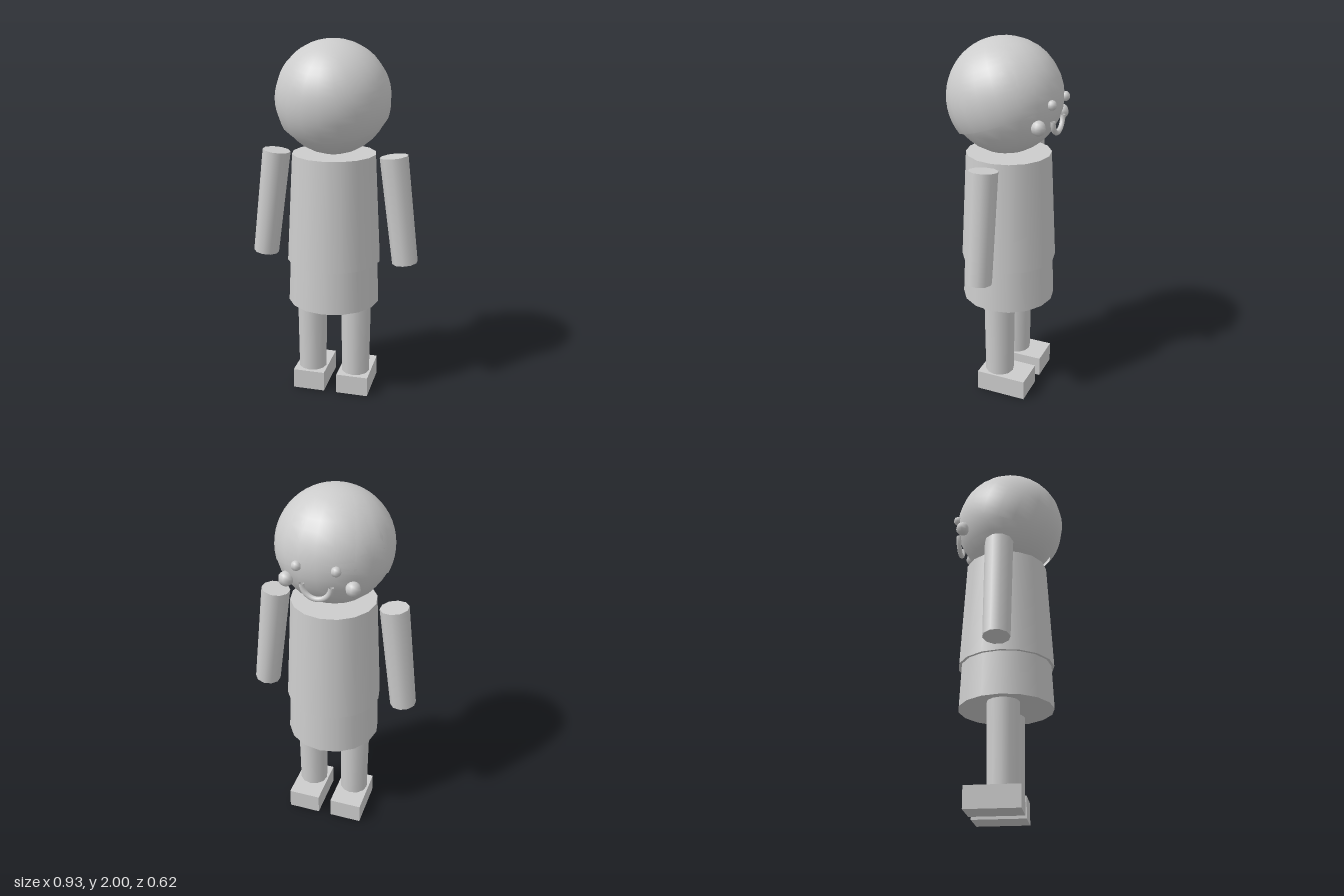
import * as THREE from 'three';

export function createModel() {
  const model = new THREE.Group();
  const grey = new THREE.MeshStandardMaterial({ color: 0xcccccc });
  grey.name = 'plain grey';
  grey.side = THREE.DoubleSide;

  const add = (name, geometry, x, y, z) => {
    const mesh = new THREE.Mesh(geometry, grey);
    mesh.name = name;
    mesh.position.set(x, y, z);
    model.add(mesh);
    return mesh;
  };
  const bodyZ = -0.015;

  // Head and the tilted hair cap, open towards the face at -z
  add('head', new THREE.SphereGeometry(0.3, 20, 16), 0, 1.7, 0);
  const cap = new THREE.SphereGeometry(0.306, 20, 16, 0, Math.PI * 2, 0, THREE.MathUtils.degToRad(110));
  add('hair', cap, 0, 1.695, 0.007).rotation.x = THREE.MathUtils.degToRad(20);

  // Smile: lower half of a ring
  const smile = new THREE.TorusGeometry(0.075, 0.014, 8, 16, Math.PI);
  add('mouth', smile, 0, 1.61, -0.285).rotation.z = Math.PI;

  // Tapered shirt and skirt
  add('shirt', new THREE.CylinderGeometry(0.228, 0.26, 0.6, 16), 0, 1.1, bodyZ);
  add('skirt', new THREE.CylinderGeometry(0.245, 0.256, 0.24, 16), 0, 0.68, bodyZ);

  // Mirrored parts
  for (const [side, s] of [['left', 1], ['right', -1]]) {
    add(side + 'Eye', new THREE.SphereGeometry(0.026, 8, 8), s * 0.1, 1.7, -0.286);
    add(side + 'Cheek', new THREE.SphereGeometry(0.039, 8, 8), s * 0.172, 1.598, -0.244);
    const arm = add(side + 'Arm', new THREE.CylinderGeometry(0.077, 0.071, 0.595, 10), s * 0.363, 1.101, bodyZ);
    arm.rotation.z = s * 0.126;
    add(side + 'Leg', new THREE.CylinderGeometry(0.086, 0.081, 0.45, 12), s * 0.128, 0.335, bodyZ);
    add(side + 'Foot', new THREE.BoxGeometry(0.182, 0.115, 0.284), s * 0.128, 0.0575, -0.057);
  }
  return model;
}
